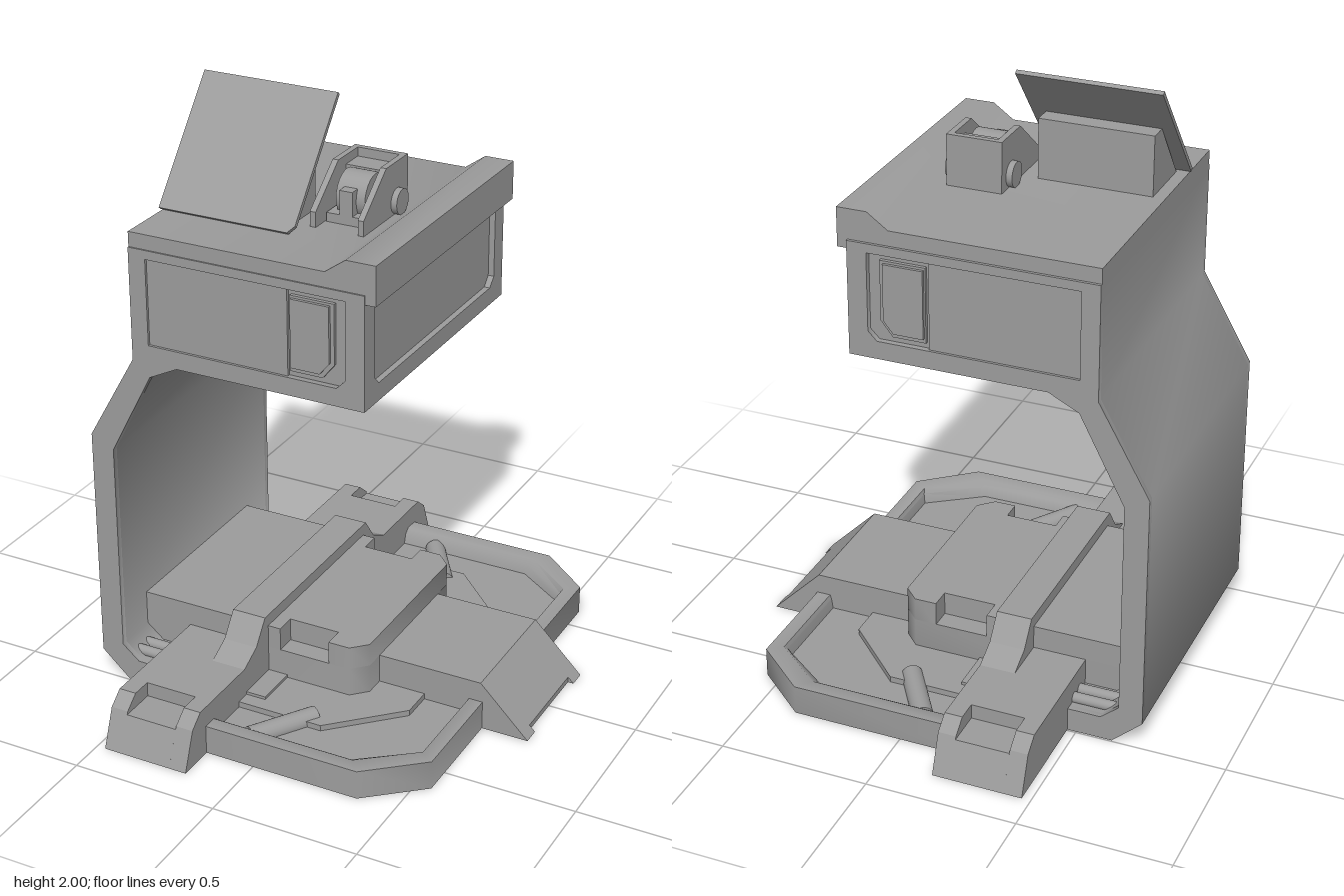
import * as THREE from 'three';
import { toCreasedNormals } from 'three/addons/utils/BufferGeometryUtils.js';

const mat = new THREE.MeshStandardMaterial({ color: 0x9c9c9c });
const SHARP = 0.4, SOFT = 0.9; // crease angles

function toShape(pts, holes) {
  const s = new THREE.Shape(pts.map(p => new THREE.Vector2(...p)));
  for (const h of holes) s.holes.push(new THREE.Path(h.map(p => new THREE.Vector2(...p))));
  return s;
}

function add(group, name, geometry) {
  const m = new THREE.Mesh(geometry, mat);
  m.name = name;
  group.add(m);
  return m;
}

// Prism along an axis from a to b. Points: z -> [x,y], x -> [z,y], y -> [x,z]
function prism(group, name, axis, a, b, pts, crease = SHARP, holes = []) {
  const fix = l => (axis === 'y' ? l.map(([u, v]) => [u, -v]) : l);
  const g = new THREE.ExtrudeGeometry(toShape(fix(pts), holes.map(fix)), { depth: b - a, bevelEnabled: false });
  if (axis === 'z') g.translate(0, 0, a);
  if (axis === 'x') g.rotateY(-Math.PI / 2).translate(b, 0, 0);
  if (axis === 'y') g.rotateX(-Math.PI / 2).translate(0, a, 0);
  return add(group, name, toCreasedNormals(g, crease));
}

function box(group, name, x0, x1, y0, y1, z0, z1) {
  const g = new THREE.BoxGeometry(x1 - x0, y1 - y0, z1 - z0);
  return add(group, name, g.translate((x0 + x1) / 2, (y0 + y1) / 2, (z0 + z1) / 2));
}

function rod(group, name, from, to, r) {
  const a = new THREE.Vector3(...from), b = new THREE.Vector3(...to);
  const m = add(group, name, new THREE.CylinderGeometry(r, r, a.distanceTo(b), 24));
  m.position.copy(a).add(b).multiplyScalar(0.5);
  m.quaternion.setFromUnitVectors(new THREE.Vector3(0, 1, 0), b.sub(a).normalize());
  return m;
}

// Completes a half outline by mirroring its second coordinate
const mirrorV = half => [...half, ...half.map(([u, v]) => [u, -v]).reverse()];
// Completes a half outline by mirroring its first coordinate
const mirrorU = half => [...half, ...half.map(([u, v]) => [-u, v]).reverse()];

// Closed skin through matching loops given as [y, outline of [x,z]]
function loft(loops) {
  const pos = [], idx = [], n = loops[0][1].length;
  for (const [y, pts] of loops) for (const [x, z] of pts) pos.push(x, y, z);
  for (let k = 0; k < loops.length - 1; k++) for (let i = 0; i < n; i++) {
    const a = k * n + i, b = k * n + (i + 1) % n;
    idx.push(a, b, a + n, b, b + n, a + n);
  }
  const last = (loops.length - 1) * n;
  for (let i = 1; i < n - 1; i++) {
    idx.push(0, i + 1, i);
    idx.push(last, last + i, last + i + 1);
  }
  const g = new THREE.BufferGeometry();
  g.setAttribute('position', new THREE.Float32BufferAttribute(pos, 3));
  g.setIndex(idx);
  return toCreasedNormals(g, SOFT);
}

function buildHead(g) {
  // Curved arm and head share one C-shaped side outline
  const outline = x => [[-0.62, 0], [-0.72, 0.09], [-0.72, 0.9], [-0.55, 1.2], [-0.55, 1.58], [x, 1.58], [x, 1.2],
    [-0.39, 1.2], [-0.49, 1.15], [-0.64, 0.86], [-0.64, 0.13], [-0.58, 0.08], [-0.4, 0.08], [-0.4, 0]];
  prism(g, 'armAndHead', 'z', -0.475, 0.475, outline(0.245), SOFT);
  const window = [[-0.49, 1.26], [0.17, 1.26], [0.2, 1.29], [0.2, 1.55], [-0.49, 1.55]];
  for (const s of [-1, 1]) {
    const span = (a, b) => (s > 0 ? [a, b] : [-b, -a]);
    prism(g, 'sideFrame', 'z', ...span(0.475, 0.495), outline(0.265), SOFT, [window]);
    // Shallow panel beside a deeper button bay
    box(g, 'sidePanel', -0.49, 0, 1.26, 1.55, ...span(0.475, 0.486));
    prism(g, 'buttonBorder', 'z', ...span(0.475, 0.487),
      [[0.01, 1.28], [0.12, 1.28], [0.16, 1.33], [0.16, 1.53], [0.01, 1.53]]);
    prism(g, 'sideButton', 'z', ...span(0.487, 0.497),
      [[0.015, 1.295], [0.114, 1.295], [0.147, 1.335], [0.147, 1.522], [0.015, 1.522]]);
  }
  // End face with a recessed panel
  const end = [[-0.475, 1.2], [0.475, 1.2], [0.475, 1.58], [-0.475, 1.58]];
  prism(g, 'endFrame', 'x', 0.245, 0.265, end, SHARP, [mirrorU([[0.43, 1.55], [0.43, 1.29], [0.4, 1.26]])]);
  prism(g, 'headCap', 'z', -0.485, 0.49,
    [[-0.55, 1.55], [0.3, 1.55], [0.3, 1.68], [0.2, 1.68], [0.13, 1.63], [-0.55, 1.63]], SOFT);
}

function buildTop(g) {
  // Tilted screen with one clipped lower corner, on a wedge
  const screen = prism(g, 'screen', 'z', -0.014, 0,
    [[-0.555, 0], [-0.1, 0], [-0.08, 0.025], [-0.08, 0.468], [-0.555, 0.468]]);
  screen.position.set(0, 1.641, 0.302);
  screen.rotation.x = -0.694;
  prism(g, 'screenSupport', 'x', -0.51, -0.13, [[0.28, 1.63], [0.125, 1.83], [0.06, 1.83], [0.06, 1.63]]);
  // Roller holder beside the screen
  const cheek = [[0.2, 1.62], [0.2, 1.68], [0.05, 1.8], [-0.1, 1.8], [-0.1, 1.62]];
  prism(g, 'rollerCheek', 'x', -0.075, -0.055, cheek);
  prism(g, 'rollerCheek', 'x', 0.09, 0.11, cheek);
  box(g, 'rollerBack', -0.055, 0.09, 1.62, 1.8, -0.1, -0.08);
  box(g, 'rollerBridge', -0.055, 0.09, 1.62, 1.77, -0.08, 0);
  rod(g, 'roller', [-0.03, 1.7, 0.04], [0.07, 1.7, 0.04], 0.075);
  box(g, 'rollerLatch', -0.005, 0.04, 1.63, 1.74, 0.04, 0.14);
  box(g, 'rollerFoot', -0.05, 0.085, 1.62, 1.66, 0.04, 0.14);
  rod(g, 'rollerPin', [-0.095, 1.67, -0.025], [0.13, 1.67, -0.025], 0.042);
}

function buildBase(g) {
  // Tray with bevelled rim
  const ring = (z1, xa, xb, z2) => mirrorV([[-0.3, z1], [xa, z1], [xb, z2]]);
  const rim = ring(0.75, 0.37, 0.553, 0.595);
  add(g, 'tray', loft([[0, rim], [0.1, rim],
    [0.1, ring(0.7, 0.33, 0.505, 0.56)], [0.085, ring(0.68, 0.315, 0.5, 0.545)],
    [0.05, ring(0.67, 0.31, 0.495, 0.54)]]));
  prism(g, 'trayPlatform', 'y', 0.04, 0.07, mirrorV([[-0.3, 0.54], [0.13, 0.54], [0.345, 0.33]]));
  box(g, 'baseFloor', -0.6, -0.1, 0, 0.08, -0.49, 0.49);

  // Central block with a notch in each side
  prism(g, 'centreBlockLower', 'y', 0.05, 0.17, mirrorV([[-0.65, 0.34], [0.13, 0.34], [0.18, 0.29]]), SOFT);
  prism(g, 'centreBlockUpper', 'y', 0.17, 0.25, mirrorV([[-0.65, 0.34], [-0.125, 0.34], [-0.125, 0.27],
    [0.055, 0.27], [0.055, 0.34], [0.13, 0.34], [0.18, 0.29]]), SOFT);

  // Cross beam with a pocket in each foot
  const beam = mirrorU([[0.88, 0], [0.83, 0.13], [0.78, 0.17]]);
  const notched = mirrorU([[0.88, 0], [0.834, 0.12], [0.71, 0.12], [0.71, 0.17]]);
  prism(g, 'crossBeam', 'x', -0.47, -0.41, beam);
  prism(g, 'crossBeam', 'x', -0.41, -0.23, notched);
  prism(g, 'crossBeam', 'x', -0.23, -0.17, beam);
  prism(g, 'strap', 'x', -0.29, -0.17, mirrorU([[0.5, 0.16], [0.5, 0.17], [0.42, 0.21], [0.36, 0.29]]));

  // Sloping tongue with two prongs
  const tongue = [[0.1, 0], [0.715, 0], [0.545, 0.17], [0.1, 0.17]];
  prism(g, 'tongue', 'z', -0.16, 0.16, [[0.1, 0], [0.695, 0], [0.695, 0.02], [0.545, 0.17], [0.1, 0.17]]);
  for (const s of [-1, 1]) {
    prism(g, 'tongueProng', 'z', s > 0 ? 0.16 : -0.22, s > 0 ? 0.22 : -0.16, tongue);
    rod(g, 'trayBar', [-0.05, 0.055, s * 0.68], [0.08, 0.055, s * 0.48], 0.035);
    for (const z of [0.39, 0.44]) rod(g, 'armPin', [-0.65, 0.09, s * z], [-0.46, 0.09, s * z], 0.018);
  }
}

export function createModel() {
  const model = new THREE.Group();
  model.name = 'machine';
  for (const [name, build] of [['head', buildHead], ['topFittings', buildTop], ['base', buildBase]]) {
    const g = new THREE.Group();
    g.name = name;
    build(g);
    model.add(g);
  }
  return model;
}
